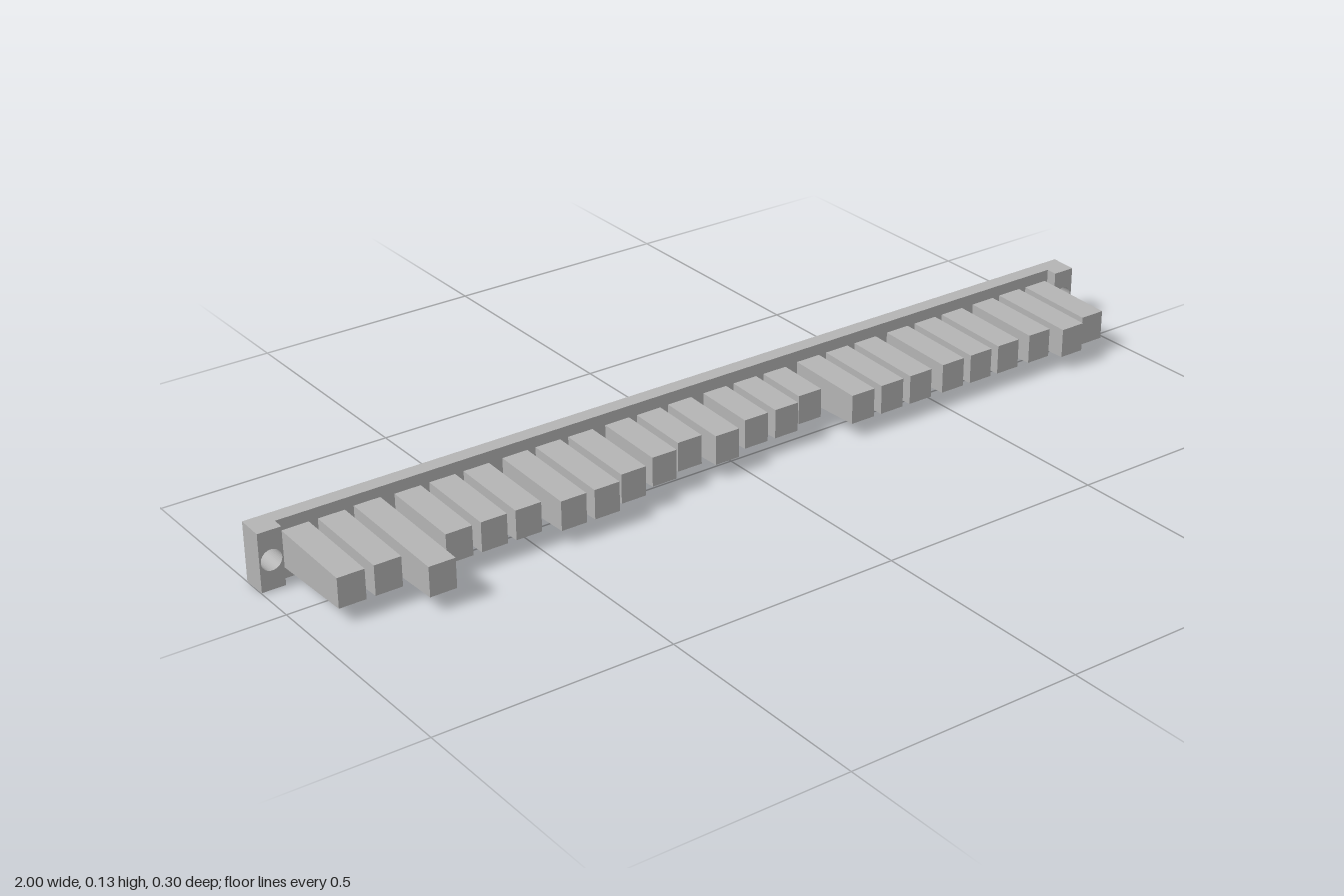
import * as THREE from 'three';

const MID_Y = 0.0635;   // height of the centre line
const BACK_Z = -0.148;  // rear face of the rail
const DRAFT = 0.035;    // moulding draft on tops and undersides

// Block running from z0 (base) to z1 (tip), its height growing towards the base
function draftedBlock(width, tipHalf, z0, z1) {
  const geo = new THREE.BoxGeometry(width, 2, z1 - z0);
  geo.translate(0, 0, (z0 + z1) / 2);
  applyDraft(geo, tipHalf, z1, 0.5);
  return geo;
}

// Moves the top and bottom edges to the drafted height for their z
function applyDraft(geo, tipHalf, z1, threshold) {
  const p = geo.attributes.position;
  for (let i = 0; i < p.count; i++) {
    if (Math.abs(p.getY(i)) < threshold) continue; // leave the screw hole alone
    p.setY(i, Math.sign(p.getY(i)) * (tipHalf + DRAFT * (z1 - p.getZ(i))));
  }
  geo.computeVertexNormals();
}

export function createModel() {
  const model = new THREE.Group();
  model.name = 'toothedBar';
  const grey = new THREE.MeshStandardMaterial({ color: 0xb4b4b4 });
  grey.name = 'grey';

  const add = (name, geo, x) => {
    const mesh = new THREE.Mesh(geo, grey);
    mesh.name = name;
    mesh.position.set(x, MID_Y, 0);
    model.add(mesh);
  };

  // Long back rail
  const railFront = -0.116, lugFront = -0.092;
  const lugHalf = 0.0615, lugWidth = 0.05;
  const railHalf = lugHalf + DRAFT * (lugFront - railFront);
  add('rail', draftedBlock(2 - 2 * lugWidth, railHalf, BACK_Z, railFront), 0);

  // End lugs with screw holes
  const w = lugWidth / 2;
  const outline = new THREE.Shape([
    new THREE.Vector2(-w, -lugHalf), new THREE.Vector2(w, -lugHalf),
    new THREE.Vector2(w, lugHalf), new THREE.Vector2(-w, lugHalf),
  ]);
  outline.holes.push(new THREE.Path().absarc(0, 0, 0.022, 0, Math.PI * 2, true));
  for (const side of [-1, 1]) {
    const lug = new THREE.ExtrudeGeometry(outline, {
      depth: lugFront - BACK_Z, bevelEnabled: false, curveSegments: 20,
    });
    lug.translate(0, 0, BACK_Z);
    applyDraft(lug, lugHalf, lugFront, 0.05);
    add(side < 0 ? 'rightLug' : 'leftLug', lug, side * (1 - w));
  }

  // Teeth in eight groups of three; each tip sits a whole number of steps out
  const steps = [4, 4, 7, 3, 3, 3, 4, 4, 3, 2, 1, 2, 1, 1, 0, 3, 3, 3, 3, 3, 3, 3, 4, 3];
  steps.forEach((k, i) => {
    const x = (Math.floor(i / 3) - 3.5) * 0.239 + ((i % 3) - 1) * 0.0758 + 0.002;
    const tip = 0.002 + 0.0211 * k;
    add('tooth' + (i + 1), draftedBlock(0.057, 0.0315, railFront - 0.002, tip), x);
  });

  return model;
}
